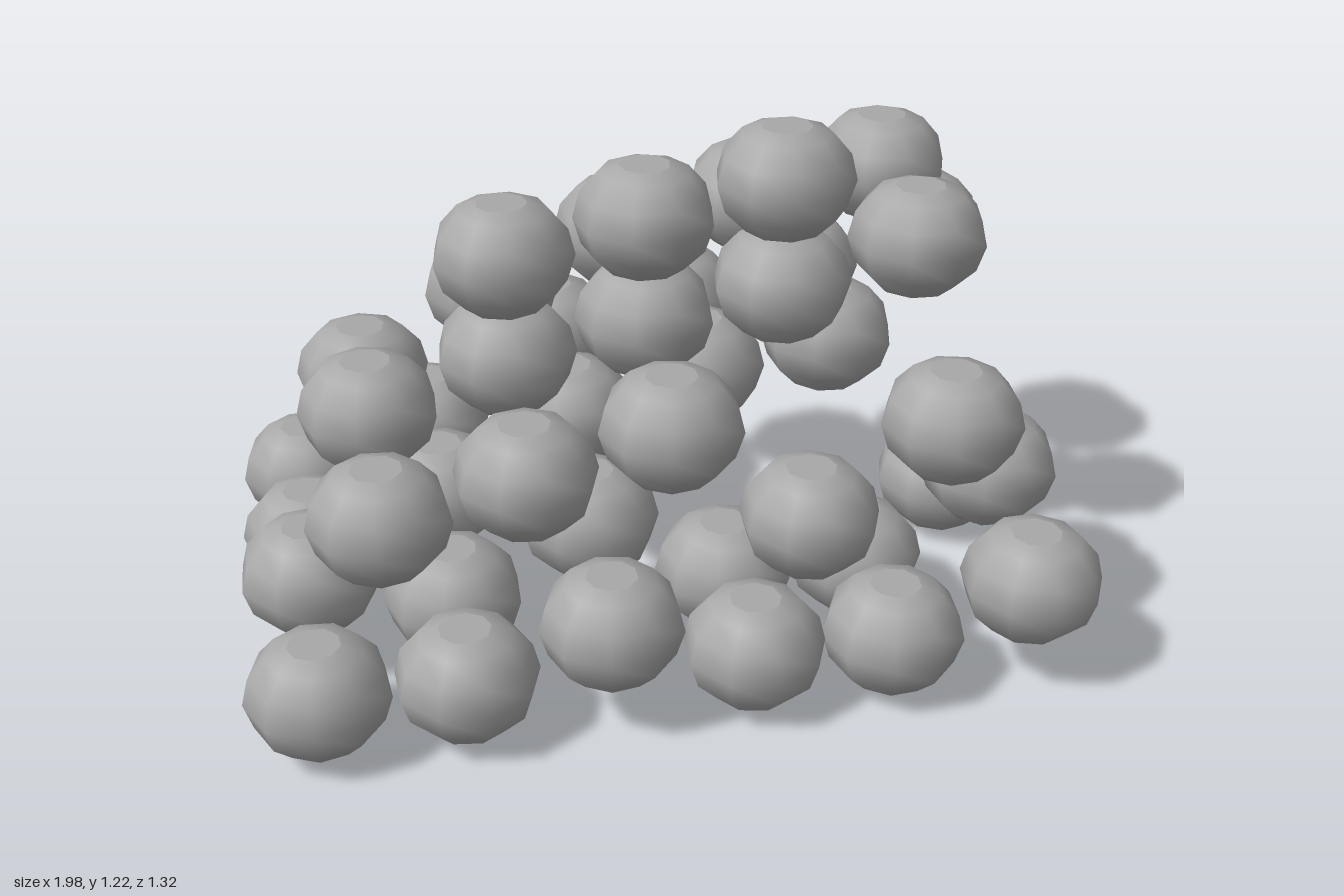
import * as THREE from 'three';
import { mergeGeometries } from 'three/addons/utils/BufferGeometryUtils.js';

const STEP = 0.33;   // spacing of the pebble lattice
const SIDES = 9;

// Squashed pebble standing on y = 0: smooth sides, shallow pointed base, flat crown
function pebbleGeometry() {
  const profile = [[0, 0], [0.095, 0.03], [0.147, 0.083], [0.167, 0.148], [0.151, 0.212], [0.108, 0.262], [0.06, 0.279]]
    .map(([r, y]) => new THREE.Vector2(r, y));
  const body = new THREE.LatheGeometry(profile, SIDES);
  const crown = new THREE.CircleGeometry(0.06, SIDES);
  crown.rotateX(-Math.PI / 2).rotateY(-Math.PI / 2).translate(0, 0.279, 0);
  return mergeGeometries([body, crown]);
}

// Base heights per layer; rows run back to front, columns from -x to +x
const LAYERS = [
  { name: 'lowerPebble', rows: [
    [0, 0.12, 0.36, 0.43, 0.5, 0.59],
    [0, 0.1, 0.29, 0.39, 0.45, 0],
    [0.1, 0, 0.18, 0, 0, 0.22],
    [0, 0, 0.1, 0, 0, 0.1],
  ] },
  { name: 'upperPebble', rows: [
    [0.36, 0.57, 0.7, 0.77, 0.83],
    [0.43, 0.55, 0.62, 0.68, 0.77],
    [0.33, 0.41, 0.5, 0.23, 0.45],
  ] },
  { name: 'crestPebble', rows: [[0.8, 0.87, 0.94]] },
];

export function createModel() {
  const group = new THREE.Group();
  group.name = 'pebbleHeap';
  const stone = new THREE.MeshStandardMaterial({ color: 0xa8a8a8 });
  stone.name = 'grey stone';
  const geometry = pebbleGeometry();

  let turn = 0;
  for (const { name, rows } of LAYERS) {
    rows.forEach((row, k) => row.forEach((y, i) => {
      const pebble = new THREE.Mesh(geometry, stone);
      pebble.name = name;
      pebble.position.set(
        (i - (row.length - 1) / 2) * STEP,
        y,
        (k - (rows.length - 1) / 2) * STEP,
      );
      pebble.rotation.y = (turn++) * 2.4; // vary the facing of each pebble
      group.add(pebble);
    }));
  }
  return group;
}
